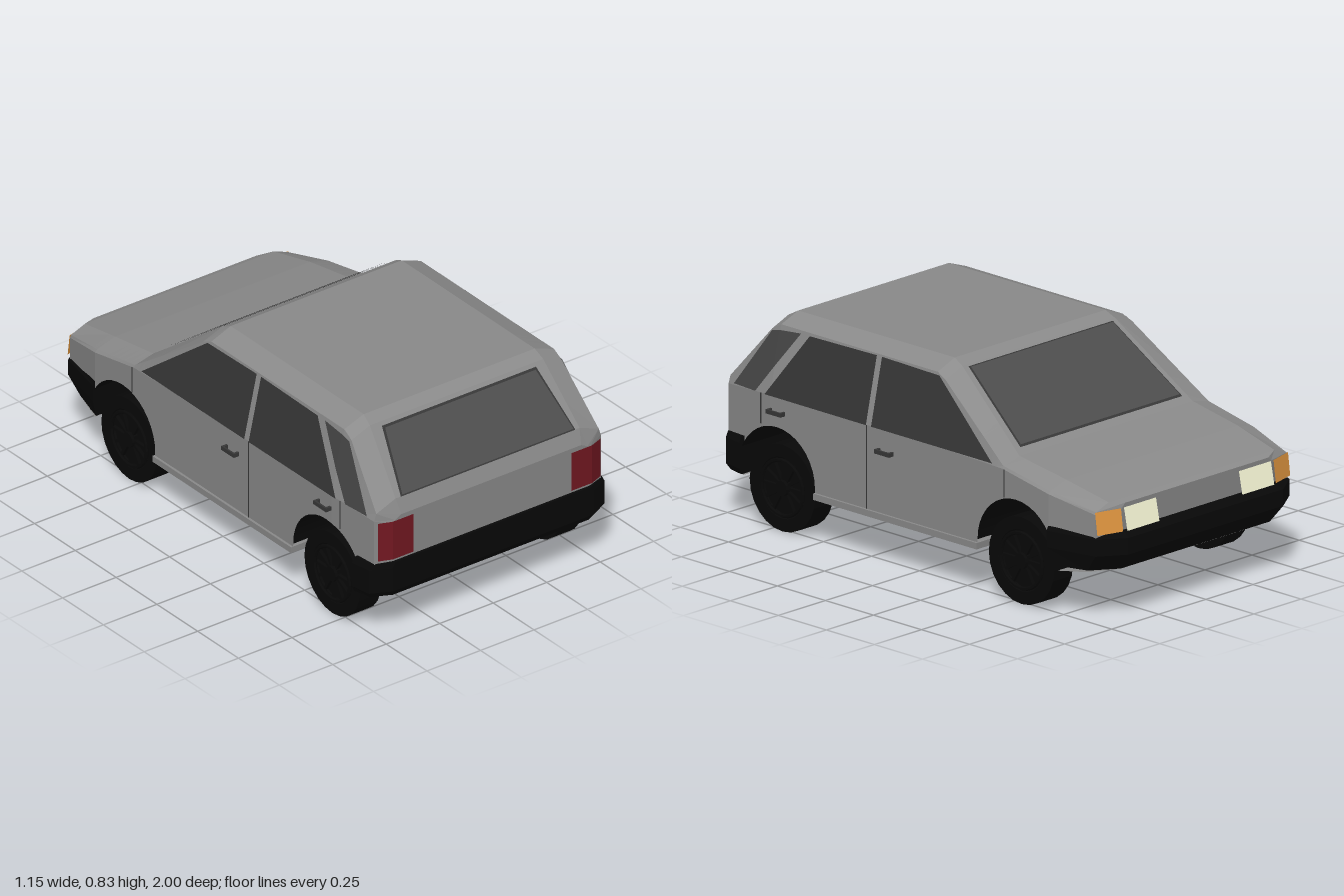
import * as THREE from 'three';

const mat = (color) => new THREE.MeshStandardMaterial({ color, flatShading: true, side: THREE.DoubleSide });
const paint = mat(0x8b8b8b), black = mat(0x080808), tyreMat = mat(0x080808), glass = mat(0x4e4e4e);
const sideGlass = mat(0x363636), quarterGlass = mat(0x464646), trim = mat(0x383838);
const red = mat(0x741822), amber = mat(0xe69a42), cream = mat(0xffffdd);

const WHEELS = [0.695, -0.55], ARCH = 0.2, ARCH_Y = 0.215, WELL_X = 0.22;

// Skin a list of equal-length point rows; the first and last rows are capped
function loft(rows, closed) {
  const n = rows[0].length, idx = [];
  for (let i = 0; i < rows.length - 1; i++) {
    for (let j = 0; j < (closed ? n : n - 1); j++) {
      const a = i * n + j, b = i * n + (j + 1) % n, c = b + n, d = a + n;
      idx.push(a, d, c, a, c, b);
    }
  }
  const last = (rows.length - 1) * n;
  for (let j = 1; j < n - 1; j++) idx.push(0, j, j + 1, last, last + j + 1, last + j);
  return finish(rows.flat(2), idx);
}

// Flat convex panel
function panel(points) {
  const idx = [];
  for (let j = 1; j < points.length - 1; j++) idx.push(0, j, j + 1);
  return finish(points.flat(), idx);
}

// Panel spanning the car, from the points of its left half
const spanPanel = (half) => panel([...half, ...half.map(([x, y, z]) => [-x, y, z]).reverse()]);

function finish(pos, idx) {
  const g = new THREE.BufferGeometry();
  g.setAttribute('position', new THREE.Float32BufferAttribute(pos, 3));
  g.setIndex(idx);
  const flat = g.toNonIndexed();
  flat.computeVertexNormals();
  return flat;
}

// Outer x of the cabin side at a given height and depth
const sideX = (y, z) => 0.55 - Math.max(0, y - 0.53) * 0.225 - Math.max(0, z - 0.73) * 0.083;

// Body stations: z, belt x, belt y, shoulder x, shoulder y, top x, top y
const STATIONS = [
  [0.988, 0.46, 0.50, 0.45, 0.51, 0.42, 0.525],
  [0.965, 0.53, 0.52, 0.52, 0.55, 0.43, 0.585],
  [0.775, 0.546, 0.53, 0.491, 0.77, 0.405, 0.803],
  [0.73, 0.55, 0.53, 0.49, 0.795, 0.40, 0.828],
  [-0.085, 0.55, 0.53, 0.49, 0.795, 0.40, 0.83],
  [-0.13, 0.55, 0.53, 0.495, 0.775, 0.405, 0.808],
  [-0.48, 0.55, 0.52, 0.545, 0.53, 0.46, 0.55],
  [-0.72, 0.55, 0.475, 0.54, 0.485, 0.455, 0.51],
  [-0.925, 0.51, 0.43, 0.505, 0.44, 0.44, 0.465],
  [-0.952, 0.40, 0.43, 0.395, 0.44, 0.38, 0.455],
];

function stationAt(z) {
  let i = 0;
  while (i < STATIONS.length - 2 && z < STATIONS[i + 1][0]) i++;
  const a = STATIONS[i], b = STATIONS[i + 1], t = (z - a[0]) / (b[0] - a[0]);
  return a.map((v, k) => v + (b[k] - v) * t);
}

// Lower edge of the body, raised over the wheels and behind the bumpers
function lowerEdge(z) {
  if (z > 0.876) return 0.3;
  if (z < -0.721) return 0.33;
  for (const w of WHEELS) {
    const d = Math.abs(z - w);
    if (d < ARCH - 1e-6) return ARCH_Y + Math.sqrt(ARCH * ARCH - d * d);
  }
  return 0.2;
}

function bodyGeometry() {
  const zs = STATIONS.map((s) => s[0]);
  for (const w of WHEELS) {
    for (let i = 0; i <= 18; i++) zs.push(w + ARCH * Math.cos(Math.PI * i / 18));
    zs.push(w + ARCH + 0.001, w - ARCH - 0.001);
  }
  zs.sort((a, b) => b - a);
  return loft(zs.map((z) => {
    const [, bx, by, sx, sy, tx, ty] = stationAt(z);
    const half = [[bx, lowerEdge(z), z], [bx, by, z], [sx, sy, z], [tx, ty, z]];
    return [...half, ...half.map(([x, y]) => [-x, y, z]).reverse()];
  }), false);
}

// Wraparound bumper: plan outline pulled in at the levels [y, x inset, z inset]
function bumperGeometry(plan, levels) {
  return loft(levels.map(([y, ix, iz]) => {
    const half = plan.map(([x, z], i) => [x - ix, y, i < plan.length - 1 ? z + iz : z]);
    return [...half.map(([x, , z]) => [-x, y, z]).reverse(), ...half];
  }), true);
}

export function createModel() {
  const car = new THREE.Group();
  car.name = 'hatchbackCar';
  const add = (parent, name, geo, material, x = 0, y = 0, z = 0) => {
    const m = new THREE.Mesh(geo, material);
    m.name = name;
    m.position.set(x, y, z);
    parent.add(m);
    return m;
  };
  const box = (w, h, d) => new THREE.BoxGeometry(w, h, d);

  add(car, 'bodyShell', bodyGeometry(), paint);

  // Underside: narrow between the wheel wells, with ramps rising to the bumpers
  add(car, 'floor', box(WELL_X * 2, 0.025, 1.64), paint, 0, 0.1905, 0.0725);
  add(car, 'rearRamp', spanPanel([[0.53, 0.178, 0.89], [0.46, 0.189, 0.975]]), paint);
  add(car, 'frontRamp', spanPanel([[0.53, 0.178, -0.747], [0.497, 0.192, -0.87], [0.395, 0.199, -0.944]]), paint);

  // Bumpers
  add(car, 'frontBumper', bumperGeometry(
    [[0.41, -1], [0.515, -0.93], [0.56, -0.72]],
    [[0.2, 0.015, 0.055], [0.27, 0, 0], [0.335, 0, 0], [0.352, 0.008, 0.03]]), black);
  add(car, 'rearBumper', bumperGeometry(
    [[0.47, -1], [0.55, -0.96], [0.565, -0.875]],
    [[0.19, 0.012, 0.015], [0.215, 0, 0], [0.315, 0, 0], [0.337, 0.012, 0]]).rotateY(Math.PI), black);

  // Windscreen and rear window
  add(car, 'windscreenFrame', spanPanel([[0.43, 0.571, -0.456], [0.383, 0.804, -0.14]]), trim);
  add(car, 'windscreen', spanPanel([[0.422, 0.579, -0.45], [0.377, 0.803, -0.147]]), glass);
  add(car, 'rearWindowFrame', spanPanel([[0.408, 0.587, 0.969], [0.36, 0.792, 0.79]]), trim);
  add(car, 'rearWindow', spanPanel([[0.4, 0.593, 0.968], [0.352, 0.786, 0.799]]), glass);

  // Everything that exists on both flanks
  for (const s of [1, -1]) {
    const side = new THREE.Group();
    side.name = s > 0 ? 'leftSide' : 'rightSide';
    side.scale.x = s;
    car.add(side);

    const flank = (name, pts, material, lift) =>
      add(side, name, panel(pts.map(([z, y]) => [sideX(y, z) + lift, y, z])), material);
    // The quarter window folds where the tail starts to taper
    flank('quarterWindow', [[0.93, 0.53], [0.81, 0.53], [0.73, 0.637], [0.73, 0.775], [0.77, 0.765]], quarterGlass, 0.004);
    flank('quarterWindow', [[0.73, 0.637], [0.62, 0.785], [0.73, 0.775]], quarterGlass, 0.004);
    flank('rearDoorWindow', [[0.757, 0.53], [0.227, 0.53], [0.227, 0.79], [0.575, 0.785]], sideGlass, 0.004);
    flank('frontDoorWindow', [[0.2, 0.53], [-0.43, 0.53], [-0.1, 0.785], [0.2, 0.79]], sideGlass, 0.004);
    // Door seams
    for (const [z, y0, y1] of [[0.225, 0.2, 0.53], [0.78, 0.41, 0.53], [-0.49, 0.41, 0.52]])
      flank('doorSeam', [[z + 0.003, y0], [z - 0.003, y0], [z - 0.003, y1], [z + 0.003, y1]], trim, 0.002);

    add(side, 'sill', box(0.56 - WELL_X, 0.025, 0.85), paint, (0.56 + WELL_X) / 2, 0.1905, 0.07);

    // Door handles
    for (const [z, y] of [[0.69, 0.475], [0.125, 0.447]]) {
      add(side, 'doorHandle', box(0.008, 0.016, 0.078), trim, 0.571, y, z);
      for (const e of [-0.034, 0.034]) add(side, 'handlePost', box(0.025, 0.016, 0.01), trim, 0.558, y, z + e);
    }

    // Lamps, leaning back by the given amount at the top
    const lamp = (name, material, y0, y1, lean, plan) => {
      for (let i = 0; i < plan.length - 1; i++) {
        const [[x0, z0], [x1, z1]] = [plan[i], plan[i + 1]];
        add(side, name, panel([[x0, y0, z0], [x1, y0, z1], [x1, y1, z1 + lean], [x0, y1, z0 + lean]]), material);
      }
    };
    lamp('tailLamp', red, 0.35, 0.512, 0, [[0.37, 0.996], [0.465, 0.996], [0.52, 0.975]]);
    lamp('headlamp', cream, 0.352, 0.44, 0.018, [[0.22, -0.974], [0.39, -0.974]]);
    lamp('indicator', amber, 0.352, 0.44, 0.012, [[0.405, -0.967], [0.512, -0.937]]);

    for (const z of WHEELS) {
      // Wheel housing reaching deep under the body
      const liner = new THREE.CylinderGeometry(ARCH, ARCH, 0.55 - WELL_X, 18, 1, true, 0, Math.PI).rotateZ(Math.PI / 2);
      add(side, 'archLiner', liner, black, (0.55 + WELL_X) / 2, ARCH_Y, z);
      add(side, 'archWall', new THREE.CircleGeometry(ARCH, 18, 0, Math.PI).rotateY(Math.PI / 2), black, WELL_X, ARCH_Y, z);

      // Wheel: tyre with recessed faces, rim and spokes
      const wheel = new THREE.Group();
      wheel.name = z > 0 ? 'rearWheel' : 'frontWheel';
      wheel.position.set(0.47, 0.17, z);
      side.add(wheel);
      const profile = [[0, -0.03], [0.11, -0.03], [0.12, -0.05], [0.17, -0.05], [0.17, 0.05], [0.12, 0.05], [0.11, 0.03], [0, 0.03]]
        .map(([r, h]) => new THREE.Vector2(r, h));
      add(wheel, 'tyre', new THREE.LatheGeometry(profile, 24).rotateZ(-Math.PI / 2), tyreMat);
      add(wheel, 'rim', new THREE.TorusGeometry(0.108, 0.008, 6, 24).rotateY(Math.PI / 2), tyreMat, 0.05);
      add(wheel, 'hub', new THREE.CylinderGeometry(0.03, 0.035, 0.03, 12).rotateZ(-Math.PI / 2), black, 0.042);
      for (let k = 0; k < 12; k++) {
        const spoke = box(0.014, 0.08, 0.012).translate(0, 0.067, 0).rotateX(k * Math.PI / 6);
        add(wheel, 'spoke', spoke, black, 0.04);
      }
    }
  }
  return car;
}
